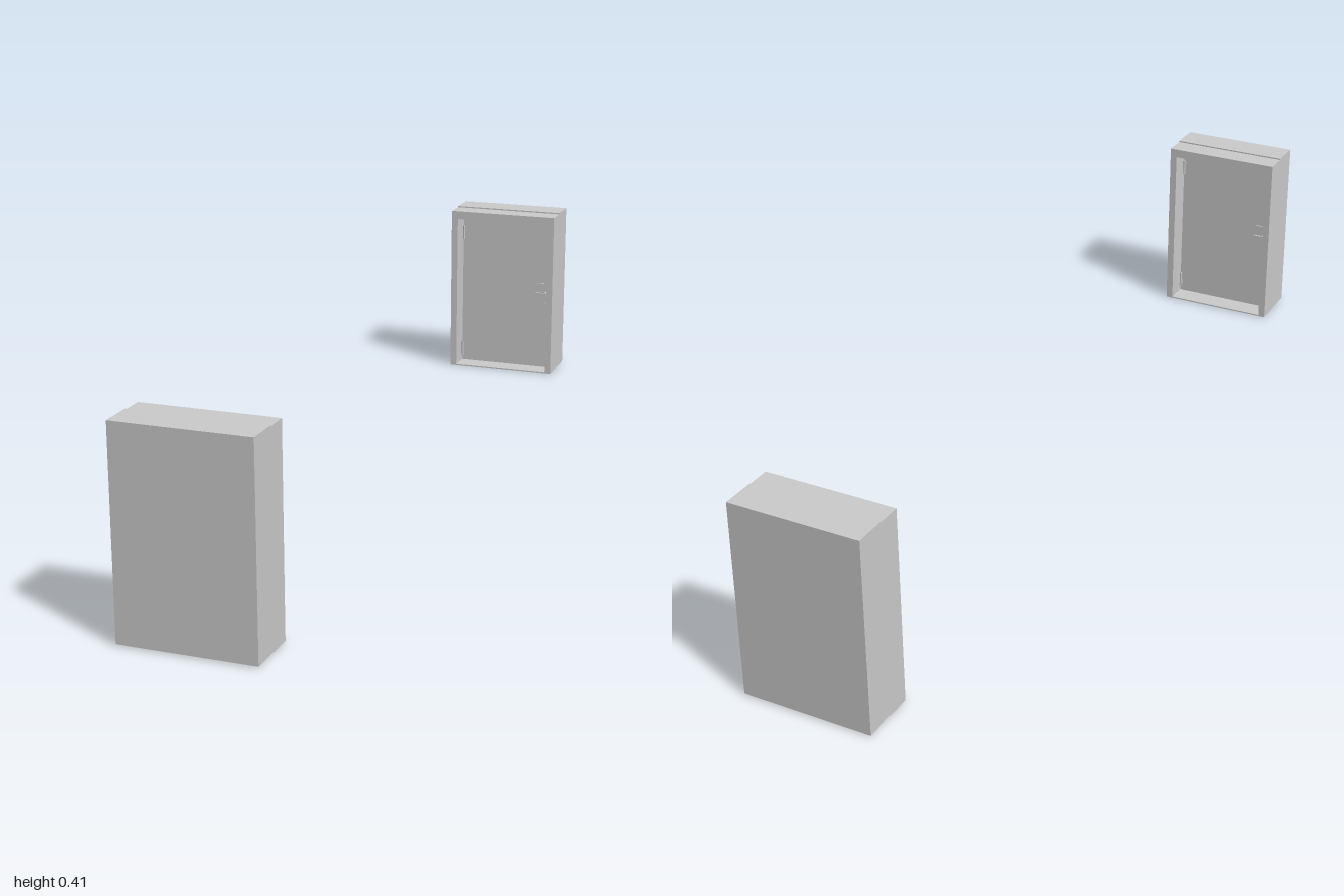
import * as THREE from 'three';

const material = new THREE.MeshStandardMaterial({ color: 0xcccccc, flatShading: true });
const smooth = new THREE.MeshStandardMaterial({ color: 0xcccccc });

const HALF_W = 0.135, OPEN_W = 0.119;    // outer and opening half widths
const SILL = 0.003, OPEN_TOP = 0.388;    // opening bottom and top
const BACK = -1, SEAM = -0.931, FRONT = -0.88;
const DOOR_FACE = -0.928;

function add(group, name, geometry, x, y, z, mat = material) {
  const mesh = new THREE.Mesh(geometry, mat);
  mesh.name = name;
  mesh.position.set(x, y, z);
  group.add(mesh);
  return mesh;
}

function box(group, name, x0, x1, y0, y1, z0, z1) {
  return add(group, name, new THREE.BoxGeometry(x1 - x0, y1 - y0, z1 - z0),
    (x0 + x1) / 2, (y0 + y1) / 2, (z0 + z1) / 2);
}

function rect(target, x0, x1, y0, y1) {
  target.moveTo(x0, y0);
  target.lineTo(x1, y0);
  target.lineTo(x1, y1);
  target.lineTo(x0, y1);
  target.closePath();
  return target;
}

// One doorway whose door looks towards +z
function createDoorway() {
  const unit = new THREE.Group();

  // Solid rear half, raised slightly above the frame
  box(unit, 'rearBlock', -HALF_W, HALF_W, SILL, 0.411, BACK, SEAM);

  // Frame with a thin threshold
  const outline = rect(new THREE.Shape(), -HALF_W, HALF_W, 0, 0.408);
  outline.holes.push(rect(new THREE.Path(), -OPEN_W, OPEN_W, SILL, OPEN_TOP));
  const frame = new THREE.ExtrudeGeometry(outline, { depth: FRONT - SEAM, bevelEnabled: false });
  add(unit, 'doorFrame', frame, 0, 0, SEAM);

  // Door leaf with a narrow gap all round
  box(unit, 'doorLeaf', -OPEN_W + 0.002, OPEN_W - 0.002, SILL + 0.002, OPEN_TOP - 0.002, SEAM, DOOR_FACE);

  // Hinges
  for (const y of [0.035, 0.345]) {
    const hinge = new THREE.Group();
    hinge.name = 'hinge';
    add(hinge, 'hingeBarrel', new THREE.CylinderGeometry(0.0025, 0.0025, 0.036, 10),
      -OPEN_W + 0.0025, y, DOOR_FACE + 0.002, smooth);
    box(hinge, 'hingeLeaf', -OPEN_W + 0.002, -OPEN_W + 0.006, y - 0.016, y + 0.016, DOOR_FACE, DOOR_FACE + 0.001);
    unit.add(hinge);
  }

  // Lock plate with lever and key cylinder
  const handle = new THREE.Group();
  handle.name = 'doorHandle';
  box(handle, 'lockPlate', 0.083, 0.116, 0.151, 0.225, DOOR_FACE, DOOR_FACE + 0.003);
  const spindle = add(handle, 'leverSpindle', new THREE.CylinderGeometry(0.004, 0.004, 0.012, 12),
    0.104, 0.2, DOOR_FACE + 0.007, smooth);
  spindle.rotation.x = Math.PI / 2;
  box(handle, 'lever', 0.082, 0.108, 0.197, 0.203, DOOR_FACE + 0.01, DOOR_FACE + 0.014);
  const key = add(handle, 'keyCylinder', new THREE.CylinderGeometry(0.004, 0.004, 0.004, 12),
    0.104, 0.172, DOOR_FACE + 0.003, smooth);
  key.rotation.x = Math.PI / 2;
  unit.add(handle);

  return unit;
}

export function createModel() {
  const model = new THREE.Group();
  model.name = 'facingDoorways';
  // Two identical doorways facing each other
  ['rearDoorway', 'frontDoorway'].forEach((name, i) => {
    const doorway = createDoorway();
    doorway.name = name;
    doorway.rotation.y = i * Math.PI;
    model.add(doorway);
  });
  return model;
}
